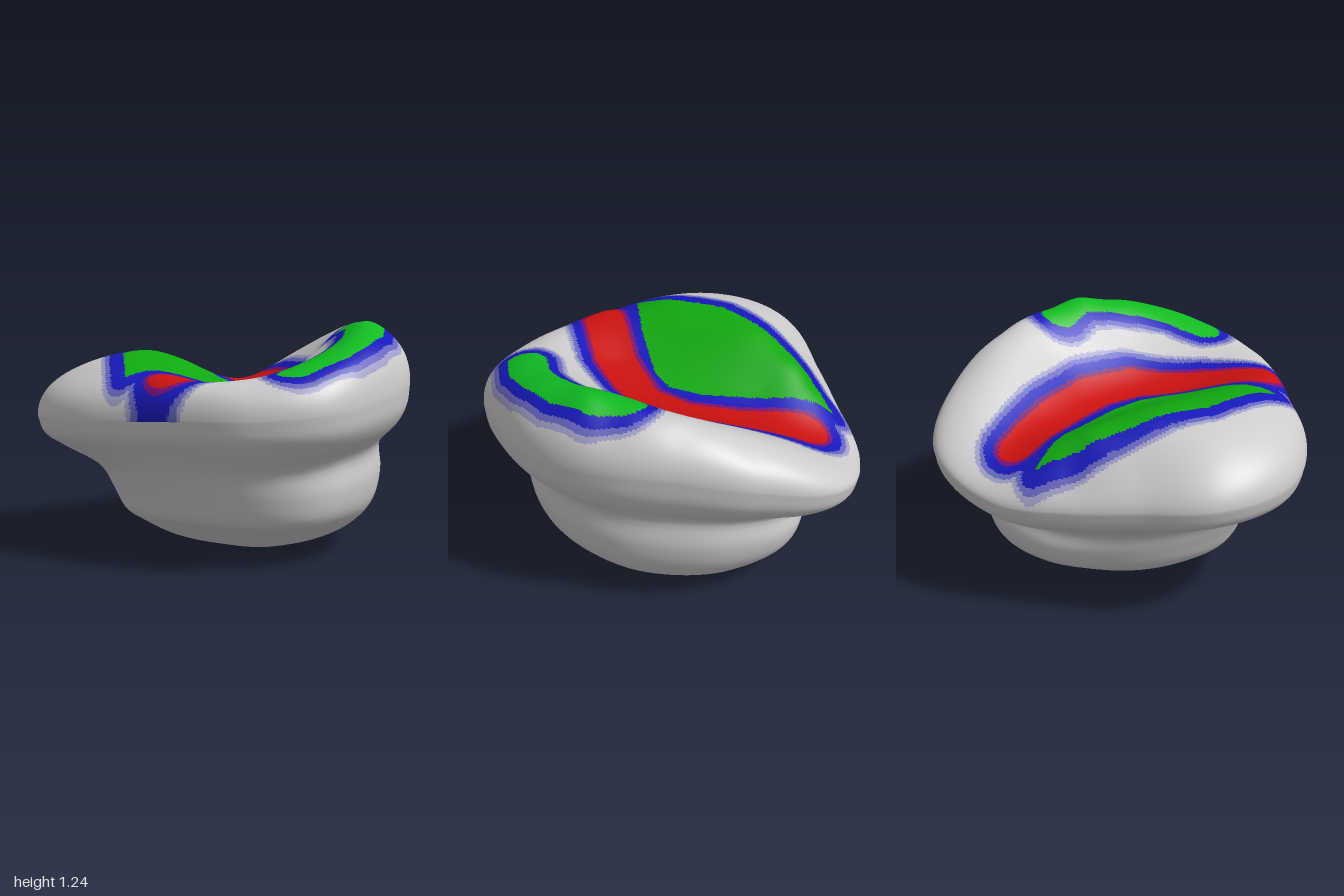
import * as THREE from 'three';

// Sixteen values around the body, from +x towards +z
const RIM = [0.96, 0.95, 0.97, 0.97, 0.99, 0.91, 0.82, 0.81, 0.93, 1.05, 1.07, 0.95, 0.95, 1.07, 1.16, 1.05];
const RIM_Y = [0.94, 0.94, 0.91, 0.87, 0.83, 0.8, 0.79, 0.77, 0.75, 0.72, 0.71, 0.67, 0.63, 0.63, 0.75, 0.87];
const SHOULDER_Y = [1.15, 1.16, 1.17, 1.14, 1.04, 0.98, 0.98, 0.97, 0.95, 0.94, 0.91, 0.85, 0.8, 0.76, 0.88, 1.05];
const BELLY = [0.83, 0.82, 0.8, 0.78, 0.77, 0.69, 0.6, 0.58, 0.61, 0.65, 0.66, 0.67, 0.7, 0.78, 0.87, 0.86];

// Heights of the upper face: x, z, y
const TOP = [
  [0.6, 0.43, 1.245], [0.38, 0.62, 1.18], [0.2, 0.73, 1.12], [0, 0.78, 1.06], [0.7, 0.2, 1.22],
  [0.77, 0, 1.19], [0.78, -0.22, 1.12], [0.77, -0.42, 1.04], [0.72, -0.6, 0.95],
  [0.3, 0.4, 1.06], [0.52, 0, 1.04],
  [0.42, -0.7, 0.81], [0.33, -0.4, 0.85], [0.25, -0.1, 0.87], [0.1, 0.15, 0.88], [-0.2, 0.28, 0.9],
  [-0.5, 0.34, 0.98], [-0.62, 0.32, 1.0],
  [-0.66, -0.02, 1.03], [-0.52, -0.27, 1.05], [-0.28, -0.52, 1.04], [-0.02, -0.7, 0.96], [0.12, -0.82, 0.86],
  [-0.3, 0, 0.97], [-0.05, -0.3, 0.94], [0.1, -0.5, 0.9],
  [-0.3, 0.65, 0.99], [-0.5, 0.5, 0.98], [0, 0.5, 0.99],
];

// Coloured areas on the upper face, as x, z outlines and centre lines
const LARGE_AREA = [[0.2, -0.86], [0.16, -0.5], [0.1, -0.18], [0.02, 0], [-0.1, 0.07], [-0.4, 0.13], [-0.7, 0.15],
  [-0.6, -0.1], [-0.5, -0.33], [-0.22, -0.6], [0, -0.76]];
const SMALL_LINE = [[0.63, 0.24], [0.61, 0.38], [0.49, 0.54], [0.33, 0.66], [0.18, 0.73], [-0.03, 0.75]];
const GROOVE_LINE = [[0.38, -0.7], [0.34, -0.35], [0.27, -0.06], [0.12, 0.15], [-0.2, 0.28], [-0.54, 0.34]];

// Smooth closed interpolation of a table
function around(table, t) {
  const n = table.length, i = Math.floor(t * n), f = t * n - i;
  const [a, b, c, d] = [-1, 0, 1, 2].map(k => table[(i + k + n) % n]);
  return b + 0.5 * f * (c - a + f * (2 * a - 5 * b + 4 * c - d + f * (3 * (b - c) + d - a)));
}

// Thin-plate surface through a set of heights
function thinPlate(points) {
  const n = points.length, size = n + 3;
  const kernel = q => (q > 0 ? 0.5 * q * Math.log(q) : 0);
  const terms = (x, z) => [...points.map(p => kernel((x - p[0]) ** 2 + (z - p[1]) ** 2)), 1, x, z];
  const rows = points.map((p, i) => {
    const row = [...terms(p[0], p[1]), p[2]];
    row[i] += 0.004;
    return row;
  });
  for (const f of [() => 1, p => p[0], p => p[1]]) rows.push([...points.map(f), 0, 0, 0, 0]);
  for (let c = 0; c < size; c++) {
    let pivot = c;
    for (let r = c; r < size; r++) if (Math.abs(rows[r][c]) > Math.abs(rows[pivot][c])) pivot = r;
    [rows[c], rows[pivot]] = [rows[pivot], rows[c]];
    for (let r = 0; r < size; r++) {
      if (r === c) continue;
      const m = rows[r][c] / rows[c][c];
      for (let k = c; k <= size; k++) rows[r][k] -= m * rows[c][k];
    }
  }
  const weights = rows.map((row, i) => row[size] / row[i]);
  return (x, z) => terms(x, z).reduce((sum, v, i) => sum + v * weights[i], 0);
}

// Distance to a line, or signed distance to a closed outline
function distance(points, x, z, closed = false) {
  let best = Infinity, inside = false;
  for (let i = closed ? 0 : 1; i < points.length; i++) {
    const [ax, az] = points[(i + points.length - 1) % points.length], [bx, bz] = points[i];
    const dx = bx - ax, dz = bz - az;
    const t = THREE.MathUtils.clamp(((x - ax) * dx + (z - az) * dz) / (dx * dx + dz * dz), 0, 1);
    best = Math.min(best, Math.hypot(x - ax - t * dx, z - az - t * dz));
    if ((az > z) !== (bz > z) && x < ax + dx * (z - az) / dz) inside = !inside;
  }
  return closed && inside ? -best : best;
}

function partAt(x, z) {
  const groove = distance(GROOVE_LINE, x, z) - 0.11;
  const large = distance(LARGE_AREA, x, z, true);
  const small = distance(SMALL_LINE, x, z) - 0.105;
  if (groove < 0) return 'groove';
  if (large < 0) return 'largeFacet';
  if (small < 0) return 'smallFacet';
  if (groove < 0.025) return 'grooveEdge';
  const d = Math.min(groove, large, small + 0.025);
  return d < 0.075 ? 'facetBorder' : d < 0.1 ? 'borderFade' : d < 0.12 ? 'borderOuterFade' : 'body';
}

const COLORS = {
  body: 0xcccccc, groove: 0xcc1111, largeFacet: 0x11aa11, smallFacet: 0x11bb22,
  grooveEdge: 0x771177, facetBorder: 0x1818bb, borderFade: 0x6666c0, borderOuterFade: 0xa0a0c8,
};

export function createModel() {
  const group = new THREE.Group();
  const columns = 240, lower = 40, upper = 90, rings = lower + upper;
  const positions = new Float32Array((rings + 1) * columns * 3);
  const shoulder = RIM.map((r, i) => {
    const a = i / RIM.length * 2 * Math.PI;
    return [0.9 * r * Math.cos(a), 0.9 * r * Math.sin(a), SHOULDER_Y[i]];
  });
  const topHeight = thinPlate([...TOP, ...shoulder]);

  for (let j = 0; j < columns; j++) {
    const t = j / columns, c = Math.cos(t * 2 * Math.PI), s = Math.sin(t * 2 * Math.PI);
    const R = around(RIM, t), H = around(RIM_Y, t), b = around(BELLY, t);
    const lean = 1 - 0.45 * c + 0.6 * s, flare = Math.max(0, 0.3 - c);
    // Underside: rounded base, belly, waist and flaring rim
    const profile = new THREE.CatmullRomCurve3([
      [0, 0], [0.28 * b, 0.008 * lean], [0.55 * b, 0.045 * lean], [0.8 * b, 0.14 + 0.05 * (lean - 1)],
      [(0.95 - 0.03 * flare) * b, 0.29 * H], [b, 0.46 * H], [(0.99 + 0.1 * flare) * b, 0.63 * H],
      [b + 0.65 * (R - b), 0.78 * H], [b + 0.92 * (R - b), 0.88 * H], [R, H],
    ].map(([r, y]) => new THREE.Vector3(r, y, 0)));
    for (let i = 0; i <= rings; i++) {
      let r, y, shift = 0;
      if (i <= lower) {
        const p = profile.getPoint(i / lower);
        r = p.x;
        y = p.y;
        shift = Math.max(0, 1 - r / b);
      } else {
        // Upper face, rounded over at the rim
        const u = 1 - (i - lower) / upper;
        const k = 1 - (1 - u) ** 1.8;
        r = R * k;
        y = H + (topHeight(r * c, r * s) - H) * Math.sqrt(1 - k ** 14);
      }
      positions.set([r * c + 0.1 * shift, y, r * s], (i * columns + j) * 3);
    }
  }

  // Sort the faces into the grey body and the coloured areas
  const faces = Object.fromEntries(Object.keys(COLORS).map(name => [name, []]));
  const all = [];
  const addFace = (i, ...corners) => {
    const mean = axis => corners.reduce((sum, v) => sum + positions[v * 3 + axis], 0) / 3;
    faces[i < lower ? 'body' : partAt(mean(0), mean(2))].push(...corners);
    all.push(...corners);
  };
  for (let i = 0; i < rings; i++) {
    for (let j = 0; j < columns; j++) {
      const k = (j + 1) % columns;
      const a = i * columns + j, b = i * columns + k, d = a + columns, e = b + columns;
      if (i < rings - 1) addFace(i, a, d, e);
      else addFace(i, a, d, b);
      if (i > 0 && i < rings - 1) addFace(i, a, e, b);
    }
  }

  // Shared normals keep the surface smooth across colours
  const whole = new THREE.BufferGeometry();
  whole.setAttribute('position', new THREE.BufferAttribute(positions, 3));
  whole.setIndex(all);
  whole.computeVertexNormals();
  for (const [name, index] of Object.entries(faces)) {
    const geometry = new THREE.BufferGeometry();
    geometry.setAttribute('position', whole.getAttribute('position'));
    geometry.setAttribute('normal', whole.getAttribute('normal'));
    geometry.setIndex(index);
    const mesh = new THREE.Mesh(geometry, new THREE.MeshStandardMaterial({ color: COLORS[name] }));
    mesh.name = name;
    group.add(mesh);
  }
  return group;
}
